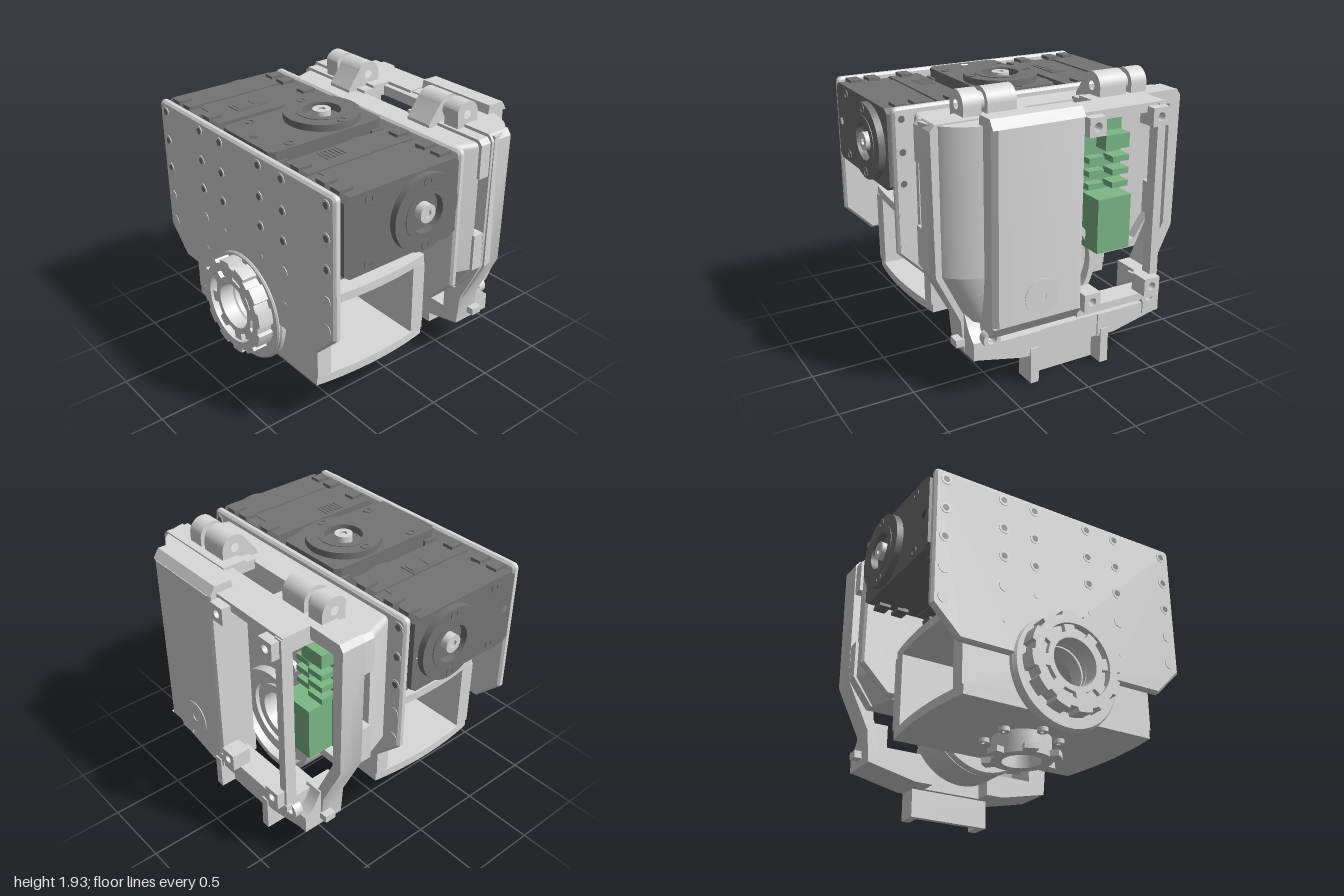
import * as THREE from 'three';
import { toCreasedNormals } from 'three/addons/utils/BufferGeometryUtils.js';

const mat = (name, color) => Object.assign(new THREE.MeshStandardMaterial({ color }), { name });

export function createModel() {
  const root = new THREE.Group();
  root.name = 'robotJointModule';
  const body = mat('light grey plastic', 0xd9d9d9);
  const dark = mat('dark grey motor', 0x747474);
  const green = mat('circuit green', 0x7cb887);

  // ---- helpers ----
  const add = (geo, m, name, parent = root) => {
    const mesh = new THREE.Mesh(geo, m);
    mesh.name = name;
    parent.add(mesh);
    return mesh;
  };
  const box = (x0, x1, y0, y1, z0, z1, m, name, parent) => {
    const g = new THREE.BoxGeometry(x1 - x0, y1 - y0, z1 - z0);
    return add(g.translate((x0 + x1) / 2, (y0 + y1) / 2, (z0 + z1) / 2), m, name, parent);
  };
  const poly = (pts, s = 1) => new THREE.Shape(pts.map(([x, y]) => new THREE.Vector2(s * x, y)));
  const hole = (shape, x, y, r) => {
    shape.holes.push(new THREE.Path().absarc(x, y, r, 0, Math.PI * 2, true));
    return shape;
  };
  const disc = (x, y, r) => new THREE.Shape().absarc(x, y, r, 0, Math.PI * 2);
  const ring = (x, y, r, rIn) => hole(disc(x, y, r), x, y, rIn);
  const extrude = (shape, a, b, bevel = 0) => {
    const g = new THREE.ExtrudeGeometry(shape, {
      depth: b - a - 2 * bevel, curveSegments: 32, bevelEnabled: bevel > 0,
      bevelSize: bevel, bevelThickness: bevel, bevelOffset: -bevel, bevelSegments: 1,
    });
    return toCreasedNormals(g.translate(0, 0, a + bevel), 0.5);
  };
  // multiply x by a factor that depends on the vertex
  const scaleX = (g, factor) => {
    const p = g.attributes.position;
    for (let i = 0; i < p.count; i++) p.setX(i, p.getX(i) * factor(p.getX(i), p.getY(i), p.getZ(i)));
    return toCreasedNormals(g, 0.5);
  };
  const alongZ = (s, a, b, m, name, parent, bevel) => add(extrude(s, a, b, bevel), m, name, parent);
  // the next two take shapes whose depth axis points to the back (-z)
  const alongX = (s, a, b, m, name, parent) => add(extrude(s, a, b).rotateY(Math.PI / 2), m, name, parent);
  const alongY = (s, a, b, m, name, parent) => add(extrude(s, a, b).rotateX(-Math.PI / 2), m, name, parent);
  // toothed outline
  const gear = (cx, cy, rIn, rOut, n, duty) => {
    const pts = [];
    for (let i = 0; i < n; i++) for (let k = 0; k < 8; k++) {
      const r = k < 4 ? rOut : rIn, f = k < 4 ? (k / 3) * duty : duty + 0.04 + ((k - 4) / 3) * (0.92 - duty);
      const a = ((i + f) / n) * Math.PI * 2;
      pts.push([cx + r * Math.cos(a), cy + r * Math.sin(a)]);
    }
    return poly(pts);
  };
  // bracket outline: wide top, cut corners, round lobe at the bottom
  const plateShape = (w, top, inner, r) => {
    const c = 0.04, a = Math.asin(0.03 / r), s = new THREE.Shape();
    s.moveTo(-w + c, top).quadraticCurveTo(-w, top, -w, top - c);
    s.lineTo(-w, 0.83).lineTo(-inner, 0.64);
    s.absarc(0, 0.61, r, Math.PI - a, Math.PI * 2 + a, false);
    s.lineTo(inner, 0.64).lineTo(w, 0.83).lineTo(w, top - c).quadraticCurveTo(w, top, w - c, top);
    return hole(s, 0, 0.64, 0.16);
  };

  // ---- front and back plates with screws ----
  alongZ(plateShape(0.94, 1.78, 0.75, 0.385), 0.745, 0.8, body, 'frontPlate', root, 0.015);
  alongZ(plateShape(0.94, 1.78, 0.75, 0.385), -0.21, -0.155, body, 'backPlate', root, 0.015);
  const screws = new THREE.Group();
  screws.name = 'plateScrews';
  root.add(screws);
  const screw = (x, y, front, m) => {
    const [z0, z1] = front ? [0.8, 0.804] : [-0.214, -0.21];
    alongZ(ring(x, y, 0.038, 0.022), z0, z1, body, 'screwRim', screws);
    alongZ(disc(x, y, 0.022), z0, z1, m, 'screwCentre', screws);
  };
  for (const s of [-1, 1]) {
    for (const y of [1.71, 1.5, 1.295]) {
      for (const x of [0.865, 0.445, 0.21]) screw(s * x, y, true, dark);
      screw(s * 0.885, y, false, dark);
    }
    for (const [x, y] of [[0.865, 1.08], [0.445, 1.08], [0.865, 0.88]]) screw(s * x, y, true, body);
    for (const y of [1.08, 0.88]) screw(s * 0.885, y, false, body);
    for (const [x, y] of [[0.21, 1.08], [0.445, 0.845]]) alongZ(disc(s * x, y, 0.016), 0.8, 0.803, body, 'plugDot', screws);
  }

  // ---- front knob ----
  alongZ(ring(0, 0.61, 0.38, 0.25), 0.79, 0.815, body, 'knobFlange', root, 0.01);
  alongZ(hole(gear(0, 0.64, 0.305, 0.33, 12, 0.6), 0, 0.64, 0.25), 0.8, 0.92, body, 'knobRim');
  alongZ(ring(0, 0.64, 0.25, 0.2), 0.8, 0.87, body, 'knobStep');
  alongZ(hole(gear(0, 0.64, 0.2, 0.25, 8, 0.4), 0, 0.64, 0.16), 0.8, 0.9, body, 'knobCollar');

  // ---- yoke below the motors ----
  const yoke = new THREE.Group();
  yoke.name = 'yoke';
  root.add(yoke);
  const plan = () => {
    const s = new THREE.Shape();
    s.moveTo(-0.69, -0.745).lineTo(0.69, -0.745).quadraticCurveTo(0.77, -0.3, 0.69, 0.15);
    s.lineTo(-0.69, 0.15).quadraticCurveTo(-0.77, -0.3, -0.69, -0.745);
    return hole(s, 0, -0.3, 0.13);
  };
  alongY(plan(), 0.33, 0.39, body, 'yokeFloor', yoke);
  alongY(plan(), 0.9, 0.96, body, 'yokeRoof', yoke);
  const wall = () => hole(poly([[-0.7, 0.39], [0.7, 0.39], [0.7, 0.9], [-0.7, 0.9]]), 0, 0.64, 0.16);
  alongZ(wall(), 0.64, 0.745, body, 'yokeFrontWall', yoke);
  alongZ(wall(), -0.15, -0.05, body, 'yokeBackWall', yoke);
  for (const [a, b, f0, f1, p0, p1] of [[0.96, 1.1, 1.06, 1.1, 0.96, 0.99], [0.18, 0.33, 0.18, 0.22, 0.3, 0.33]]) {
    alongY(ring(0, -0.3, 0.195, 0.13), a, b, body, 'pivotBoss', yoke);
    alongY(hole(gear(0, -0.3, 0.2, 0.26, 6, 0.35), 0, -0.3, 0.13), f0, f1, body, 'pivotFlange', yoke);
    for (let i = 0; i < 6; i++) {
      const t = ((i + 0.5) * Math.PI) / 3;
      alongY(ring(0.24 * Math.cos(t), -0.3 + 0.24 * Math.sin(t), 0.035, 0.015), p0, p1, body, 'bossScrew', yoke);
    }
  }

  // ---- three servo motors (local output axis +y) ----
  const motor = (name) => {
    const g = new THREE.Group();
    g.name = name;
    root.add(g);
    const c = [[-0.265, 0.1], [-0.235, 0.14], [0.235, 0.14], [0.265, 0.1], [0.265, -0.7], [0.235, -0.74], [-0.235, -0.74], [-0.265, -0.7]];
    const outline = () => hole(hole(poly(c), 0, 0.09, 0.027), 0, -0.68, 0.027);
    alongY(outline(), 0.06, 0.29, dark, 'motorTopCase', g);
    alongY(outline(), -0.295, -0.08, dark, 'motorBottomCase', g);
    box(-0.255, 0.255, -0.08, 0.06, -0.03, 0.63, dark, 'motorMiddleCase', g);
    for (const z of [-0.125, 0.625]) for (const x of [-0.25, 0.05])
      box(x, x + 0.2, -0.08, 0.06, z, z + 0.1, dark, 'capRib', g);
    for (const x of [-1, 1]) for (const z of [-0.08, 0.68]) for (const y of [-0.22, 0.02, 0.15])
      box(x > 0 ? 0.26 : -0.285, x > 0 ? 0.285 : -0.26, y, y + 0.08, z - 0.055, z + 0.045, dark, 'capLug', g);
    // output and idler discs
    alongY(ring(0, -0.15, 0.25, 0.125), 0.29, 0.335, dark, 'outputDisc', g);
    alongY(ring(0, -0.15, 0.17, 0.125), 0.335, 0.34, dark, 'outputRing', g);
    alongY(ring(0, -0.15, 0.06, 0.025), 0.29, 0.345, body, 'outputSpline', g);
    alongY(disc(0, -0.15, 0.025), 0.29, 0.33, body, 'splineScrew', g);
    alongY(ring(0, -0.15, 0.25, 0.12), -0.335, -0.295, dark, 'idlerDisc', g);
    for (const x of [-0.21, 0.21]) for (const z of [0.15, 0.56])
      alongY(ring(x, -z, 0.034, 0.02), 0.29, z < 0.3 ? 0.34 : 0.296, dark, 'caseScrew', g);
    return g;
  };
  motor('middleMotor').position.y = 1.495;
  for (const s of [-1, 1]) {
    const m = motor(s > 0 ? 'leftMotor' : 'rightMotor');
    m.position.set(s * 0.66, 1.495, 0);
    m.rotation.z = (-s * Math.PI) / 2;
  }
  box(-0.58, -0.46, 1.758, 1.766, 0.22, 0.49, dark, 'motorSocket');
  for (const z of [0.24, 0.37]) box(-0.56, -0.48, 1.766, 1.77, z, z + 0.1, dark, 'socketInsert');
  for (let i = 0; i < 6; i++) box(0.39, 0.5, 1.758, 1.764, 0.345 + i * 0.028, 0.355 + i * 0.028, dark, 'ventRib');

  // ---- rear shell ----
  const shell = new THREE.Group();
  shell.name = 'rearShell';
  root.add(shell);
  // front wall widens towards the back
  const front = extrude(plateShape(0.8, 1.74, 0.68, 0.38), -0.41, -0.21);
  add(scaleX(front, (x, y, z) => (Math.abs(x) > 0.5 ? 1 + (-0.21 - z) * 0.45 : 1)), body, 'shellFrontWall', shell);
  alongZ(ring(0, 0.61, 0.38, 0.34), -0.48, -0.41, body, 'shellLobe', shell);
  alongZ(ring(0, 0.64, 0.33, 0.25), -0.44, -0.41, body, 'bearingRing', shell);
  alongZ(ring(0, 0.64, 0.22, 0.16), -0.43, -0.41, body, 'bearingCollar', shell);
  for (const [x, y] of [[0.13, 1.13], [-0.04, 1.18], [-0.16, 1.13]])
    alongZ(ring(x, y, 0.045, 0.02), -0.44, -0.41, body, 'screwPost', shell);

  const lowOuter = [[0.89, 0.83], [0.73, 0.5], [0.71, 0.28], [0.35, 0.2], [0.22, 0.2]];
  const lowInner = [[0.22, 0.26], [0.35, 0.27], [0.64, 0.34], [0.66, 0.52], [0.82, 0.86]];
  for (const s of [-1, 1]) {
    // side walls with a tall window
    alongZ(poly([[0.22, 1.76], [0.86, 1.76], [0.89, 1.73], [0.89, 1.5], [0.82, 1.5], [0.82, 1.69], [0.22, 1.69]], s), -0.48, -0.4, body, 'shellUpperSide', shell);
    alongZ(poly([[0.89, 1.09], [0.89, 0.83], [0.75, 0.64], [0.34, 0.64], [0.34, 0.7], [0.71, 0.7], [0.82, 0.86], [0.82, 1.09]], s), -0.48, -0.4, body, 'shellLowerSide', shell);
    alongZ(poly([[0.22, 1.78], [0.87, 1.78], [0.9, 1.74], ...lowOuter, ...lowInner, [0.82, 1.69], [0.22, 1.69]], s), -0.65, -0.48, body, 'shellRim', shell);
    // hinge ears on top
    const ear = (u0) => hole(new THREE.Shape().moveTo(u0, 1.7).lineTo(u0, u0 < 0.4 ? 1.76 : 1.8)
      .absarc(0.5, 1.835, 0.095, Math.PI * 0.85, 0, true).lineTo(0.595, 1.7), 0.5, 1.84, 0.03);
    const span = (a, b) => (s > 0 ? [a, b] : [-b, -a]);
    alongX(ear(0.325), ...span(0.3, 0.5), body, 'hingeEar', shell);
    alongX(ear(0.42), ...span(0.54, 0.66), body, 'hingeKnuckle', shell);
    alongX(ring(0.5, 1.84, 0.06, 0.03), ...span(0.5, 0.54), body, 'hingePin', shell);
    // rounded foot, sloping floor and stop tab
    alongX(new THREE.Shape().moveTo(0.48, 0.28).lineTo(0.78, 0.28).lineTo(0.78, 0.4)
      .quadraticCurveTo(0.7, 0.45, 0.66, 0.56).lineTo(0.48, 0.56), ...span(0.58, 0.71), body, 'shellFoot', shell);
    alongZ(poly([[0.22, 0.36], [0.22, 0.2], [0.35, 0.2], [0.71, 0.28], [0.71, 0.36]], s), -0.77, -0.48, body, 'shellFloor', shell);
    box(...span(0.7, 0.77), 0.33, 0.38, -0.66, -0.58, body, 'stopTab', shell);
    alongZ(ring(s * 0.6, 0.42, 0.06, 0.03), -0.82, -0.76, body, 'footScrewPost', shell);
    box(...span(0.24, 0.3), 0, 0.25, -0.78, -0.63, body, 'legSide', shell);
  }
  box(-0.22, 0.22, 1.69, 1.76, -0.65, -0.58, body, 'topBridge', shell);
  box(-0.22, 0.22, 0.2, 0.36, -0.76, -0.6, body, 'bottomBridge', shell);
  box(-0.3, 0.3, 0, 0.22, -0.67, -0.63, body, 'legPlate', shell);

  // ---- closed cover on one half, with a rounded shoulder that narrows below ----
  alongY(poly([[0.01, 0.64], [0.01, 0.89], [0.04, 0.905], [0.6, 0.905], [0.63, 0.87], [0.63, 0.64]]), 0.53, 1.77, body, 'rearCover', shell);
  const shoulder = () => new THREE.Shape().moveTo(0.6, 0.79).lineTo(0.63, 0.78)
    .quadraticCurveTo(0.88, 0.72, 0.905, 0.5).lineTo(0.82, 0.5).lineTo(0.8, 0.64).lineTo(0.6, 0.64);
  alongY(shoulder(), 0.83, 1.77, body, 'coverShoulder', shell);
  const low = extrude(shoulder(), 0.5, 0.83).rotateX(-Math.PI / 2);
  add(scaleX(low, (x, y) => (y < 0.6 ? 0.81 : 1)), body, 'coverLowerShoulder', shell);
  alongX(poly([[0.73, 1.77], [0.74, 1.83], [0.86, 1.83], [0.9, 1.77]]), 0.01, 0.63, body, 'coverTop', shell);
  alongX(poly([[0.7, 0.53], [0.905, 0.53], [0.85, 0.45], [0.72, 0.45]]), 0.01, 0.63, body, 'coverBottom', shell);
  alongZ(ring(0.3, 0.68, 0.12, 0.03), -0.91, -0.905, body, 'coverDial', shell);

  // ---- open frame on the other half ----
  box(-0.62, -0.56, 0.5, 1.77, -0.86, -0.78, body, 'frameUpright', shell);
  box(-0.62, 0.01, 1.72, 1.78, -0.85, -0.62, body, 'frameTop', shell);
  box(-0.62, 0.01, 0.44, 0.49, -0.86, -0.7, body, 'frameBottom', shell);
  box(-0.62, -0.56, 1.66, 1.78, -0.8, -0.62, body, 'frameUpperStrut', shell);
  box(-0.62, -0.56, 0.44, 0.54, -0.8, -0.62, body, 'frameLowerStrut', shell);
  for (const x of [-0.54, -0.07]) for (const y of [1.7, 0.55]) {
    const peg = poly([[x - 0.06, y - 0.06], [x + 0.06, y - 0.06], [x + 0.06, y + 0.06], [x - 0.06, y + 0.06]]);
    alongZ(hole(peg, x, y, 0.028), -0.915, -0.78, body, 'framePeg', shell);
  }

  // ---- circuit board ----
  const board = new THREE.Group();
  board.name = 'circuitBoard';
  root.add(board);
  box(-0.6, -0.28, 0.72, 1.58, -0.43, -0.415, green, 'boardPanel', board);
  box(-0.56, -0.3, 0.72, 1.1, -0.62, -0.43, green, 'boardBlock', board);
  box(-0.59, -0.4, 1.4, 1.5, -0.54, -0.43, green, 'boardPlug', board);
  for (let i = 0; i < 3; i++) {
    box(-0.59, -0.46, 1.13 + i * 0.09, 1.17 + i * 0.09, -0.54, -0.43, green, 'boardConnector', board);
    box(-0.42, -0.3, 1.13 + i * 0.09, 1.17 + i * 0.09, -0.5, -0.43, green, 'boardChip', board);
  }
  return root;
}
